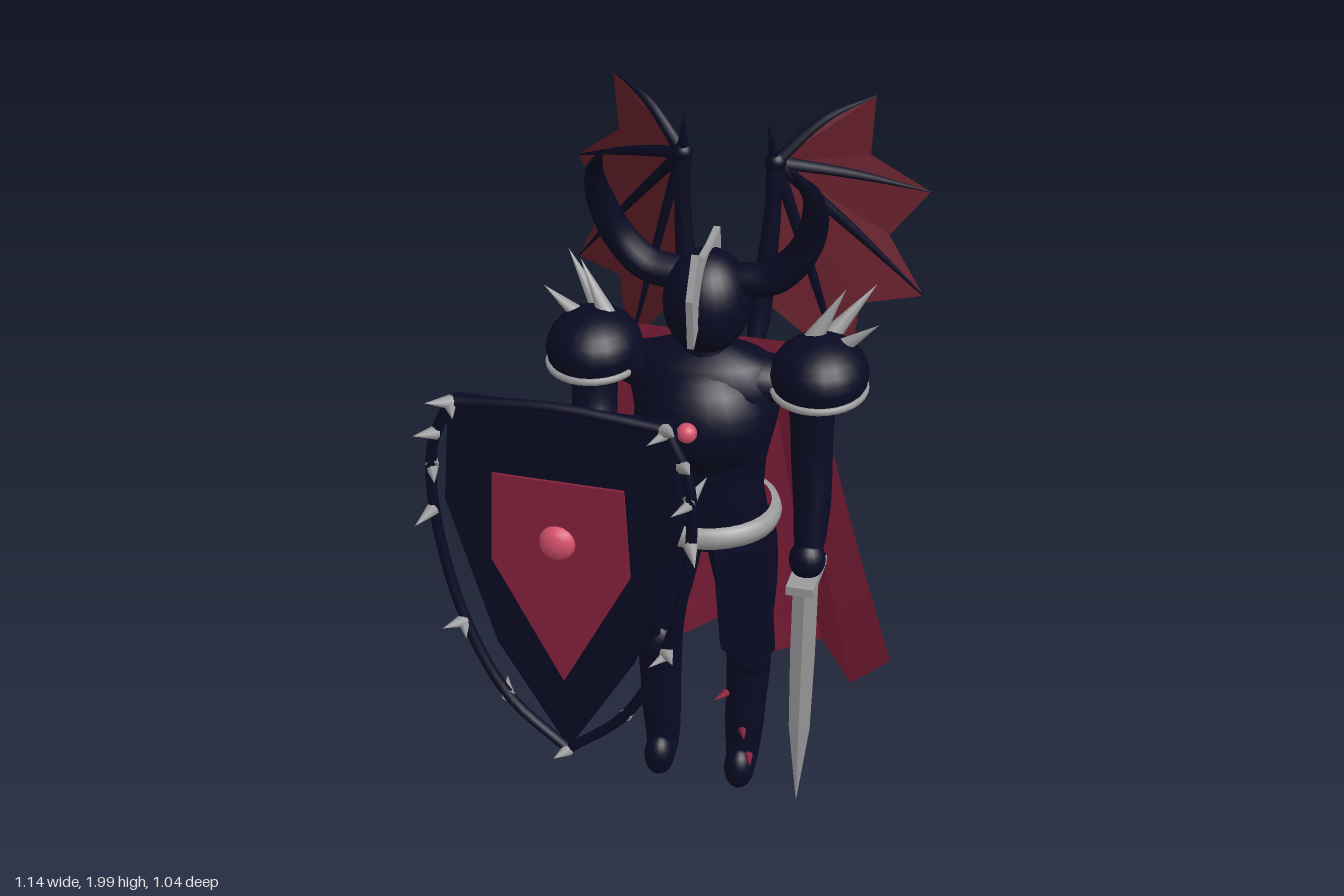
import * as THREE from 'three';

const mat = (name, color, extra = {}) => Object.assign(new THREE.MeshStandardMaterial({ color, ...extra }), { name });
const V = (x, y, z) => new THREE.Vector3(x, y, z);

export function createModel() {
  const navy = mat('navy armour', 0x090a23);
  const steel = mat('steel', 0x9b9b9d);
  const crimson = mat('crimson cloth', 0x88213d, { side: THREE.DoubleSide, flatShading: true });
  const leather = mat('wing membrane', 0x66202b, { side: THREE.DoubleSide, flatShading: true });
  const gemMat = mat('rose gem', 0xd4506c);

  const root = new THREE.Group();
  root.name = 'wingedKnight';
  const body = new THREE.Group();
  body.name = 'body';
  body.position.x = 0.07;
  root.add(body);

  const add = (parent, name, geo, material, pos) => {
    const m = new THREE.Mesh(geo, material);
    m.name = name;
    if (pos) m.position.copy(pos);
    parent.add(m);
    return m;
  };
  const ball = (parent, name, material, pos, rx, ry = rx, rz = rx, w = 20, h = 14) => {
    const m = add(parent, name, new THREE.SphereGeometry(1, w, h), material, pos);
    m.scale.set(rx, ry, rz);
    return m;
  };
  // tube along a smooth path whose radius follows a list of values
  const limb = (parent, name, material, pts, radii, seg = 24, sides = 12) => {
    const curve = new THREE.CatmullRomCurve3(pts);
    const geo = new THREE.TubeGeometry(curve, seg, 1, sides);
    const p = geo.attributes.position;
    const v = V();
    for (let i = 0; i <= seg; i++) {
      const f = (i / seg) * (radii.length - 1);
      const k = Math.min(Math.floor(f), radii.length - 2);
      const r = radii[k] + (radii[k + 1] - radii[k]) * (f - k);
      const c = curve.getPointAt(i / seg);
      for (let j = 0; j <= sides; j++) {
        const n = i * (sides + 1) + j;
        v.fromBufferAttribute(p, n).sub(c).multiplyScalar(r).add(c);
        p.setXYZ(n, v.x, v.y, v.z);
      }
    }
    return add(parent, name, geo, material);
  };
  // cone from a base point to a tip
  const spike = (parent, name, material, base, tip, r) => {
    const d = tip.clone().sub(base);
    const m = add(parent, name, new THREE.ConeGeometry(r, d.length(), 8), material, base.clone().addScaledVector(d, 0.5));
    m.quaternion.setFromUnitVectors(V(0, 1, 0), d.normalize());
    return m;
  };
  const plate = (points, depth) => new THREE.ExtrudeGeometry(
    new THREE.Shape(points.map(([x, y]) => new THREE.Vector2(x, y))), { depth, bevelEnabled: false });
  const surface = (verts, index) => {
    const g = new THREE.BufferGeometry();
    g.setAttribute('position', new THREE.Float32BufferAttribute(verts.flatMap(v => v.toArray()), 3));
    g.setIndex(index);
    g.computeVertexNormals();
    return g;
  };

  // Torso and shoulders
  const torso = add(body, 'torso', new THREE.LatheGeometry(
    [[0, 0.8], [0.13, 0.82], [0.18, 0.9], [0.162, 1.0], [0.168, 1.1], [0.195, 1.22], [0.21, 1.32], [0.17, 1.39], [0.06, 1.43], [0, 1.43]]
      .map(([r, y]) => new THREE.Vector2(r, y)), 24), navy, V(0, 0, 0.02));
  torso.scale.z = 0.62;
  ball(body, 'shoulders', navy, V(0, 1.33, 0.01), 0.29, 0.08, 0.1);
  ball(body, 'breastplate', navy, V(0, 1.23, 0.05), 0.185, 0.17, 0.165);
  ball(body, 'chestGem', gemMat, V(0, 1.255, 0.215), 0.027);
  add(body, 'neck', new THREE.CylinderGeometry(0.06, 0.08, 0.1, 16), navy, V(0, 1.41, 0.02));
  const belt = add(body, 'belt', new THREE.LatheGeometry(
    [[0.9, -0.03], [1, -0.026], [1.04, 0], [1, 0.026], [0.9, 0.03]].map(([r, y]) => new THREE.Vector2(r, y)), 32),
  steel, V(0, 0.925, 0.028));
  belt.scale.set(0.205, 1, 0.184);

  // Helmet with a steel crest
  ball(body, 'helmet', navy, V(0, 1.54, 0.015), 0.115, 0.142, 0.125, 28, 20);
  const crest = add(body, 'crest', plate(
    [[0.18, 1.48], [0.197, 1.62], [0.14, 1.725], [0.08, 1.69], [0, 1.692], [-0.085, 1.705], [-0.095, 1.6], [0, 1.6], [0.1, 1.55]], 0.018), steel, V(0.009, 0, 0));
  crest.rotation.y = -Math.PI / 2;

  for (const s of [1, -1]) {
    const side = s > 0 ? 'left' : 'right';
    const P = (x, y, z) => V(x * s, y, z);

    // Horn
    limb(body, side + 'Horn', navy, [P(0.08, 1.6, 0), P(0.17, 1.62, 0), P(0.24, 1.69, 0.0), P(0.277, 1.79, 0.025), P(0.28, 1.88, 0.07), P(0.235, 1.985, 0.15)],
      [0.046, 0.046, 0.042, 0.035, 0.022, 0.001], 28, 10);

    // Pauldron, rim and spikes
    ball(body, side + 'Pauldron', navy, P(0.305, 1.375, 0.025), 0.128, 0.102, 0.143);
    const rim = add(body, side + 'PauldronRim', new THREE.TorusGeometry(1, 0.055, 6, 32), steel, P(0.305, 1.335, 0.025));
    rim.rotation.x = Math.PI / 2;
    rim.scale.set(0.123, 0.14, 0.18);
    for (const [b, t] of [[[0.275, 1.45, 0], [0.355, 1.595, -0.03]], [[0.31, 1.44, -0.05], [0.42, 1.575, -0.125]], [[0.335, 1.43, 0], [0.45, 1.52, 0]]])
      spike(body, side + 'PauldronSpike', steel, P(...b), P(...t), 0.027);

    // Leg with rounded foot
    limb(body, side + 'Leg', navy, [P(0.09, 0.93, 0.02), P(0.115, 0.7, 0.01), P(0.13, 0.46, 0.015), P(0.125, 0.25, 0.03), P(0.12, 0.1, 0.035), P(0.12, 0.05, 0.07)],
      [0.085, 0.1, 0.094, 0.084, 0.07, 0.064, 0.062, 0.058, 0.056, 0.05, 0.04], 36, 14);
    ball(body, side + 'Knee', navy, P(0.135, 0.47, 0.04), 0.064, 0.075, 0.062);
    ball(body, side + 'Foot', navy, P(0.12, 0.075, 0.07), 0.044, 0.067, 0.052);
    const tasset = add(body, side + 'Tasset', plate([[-0.08, 0], [0.07, 0], [0.09, -0.34], [0.02, -0.4], [-0.06, -0.32]].map(([x, y]) => [x * s, y]), 0.025), navy, P(0.14, 0.9, 0.165));
    tasset.rotation.set(0.04, s * 0.4, 0);

    // Wing: arm, claw, fingers and scalloped membrane
    const joint = P(0.125, 1.85, -0.2);
    limb(body, side + 'WingArm', navy, [P(0.09, 1.31, -0.14), P(0.1, 1.45, -0.17), P(0.12, 1.68, -0.19), joint],
      [0.02, 0.032, 0.03, 0.025, 0.022, 0.025], 20, 10);
    ball(body, side + 'WingJoint', navy, joint, 0.028);
    spike(body, side + 'WingClaw', navy, joint, P(0.11, 1.97, -0.165), 0.018);
    const edge = [[0.245, 1.95, -0.28], [0.355, 2.0, -0.345], [0.345, 1.83, -0.36], [0.495, 1.7, -0.46], [0.4, 1.59, -0.395], [0.495, 1.4, -0.44],
      [0.34, 1.41, -0.33], [0.315, 1.165, -0.315], [0.215, 1.33, -0.25], [0.11, 1.46, -0.175]].map(a => P(...a));
    const fan = [];
    for (let i = 1; i < edge.length; i++) fan.push(0, i, i + 1);
    add(body, side + 'WingMembrane', surface([joint, ...edge], fan), leather);
    for (const k of [1, 3, 5, 7]) {
      const mid = joint.clone().lerp(edge[k], 0.5).add(V(0, k === 1 ? 0.03 : 0.008, 0));
      limb(body, side + 'WingFinger', navy, [joint, mid, edge[k]], [0.018, 0.013, 0.002], 10, 6);
    }
  }

  // Left arm hanging, with the sword
  limb(body, 'leftArm', navy, [V(0.285, 1.38, 0.02), V(0.29, 1.15, 0.02), V(0.3, 0.98, 0.04), V(0.3, 0.8, 0.075)],
    [0.06, 0.064, 0.058, 0.056, 0.052, 0.045, 0.03]);
  ball(body, 'leftHand', navy, V(0.3, 0.83, 0.075), 0.05, 0.058, 0.052);
  add(body, 'swordGuard', new THREE.BoxGeometry(0.075, 0.026, 0.18), steel, V(0.3, 0.782, 0.08));
  const blade = add(body, 'swordBlade', new THREE.CylinderGeometry(1, 1, 0.75, 4, 3), steel, V(0.3, 0.405, 0.1));
  const bp = blade.geometry.attributes.position;
  for (let i = 0; i < bp.count; i++) {
    const h = bp.getY(i) / 0.75 + 0.5;
    const w = h < 0.05 ? 0.001 : h < 0.4 ? 0.03 : 0.035;
    bp.setXYZ(i, bp.getX(i) * w, bp.getY(i), bp.getZ(i) * w * 0.32 + (0.5 - h) * 0.03);
  }
  blade.geometry = blade.geometry.toNonIndexed();
  blade.geometry.computeVertexNormals();

  // Right arm bent forward behind the shield
  limb(body, 'rightArm', navy, [V(-0.3, 1.38, 0.02), V(-0.3, 1.2, 0.05), V(-0.27, 1.08, 0.13), V(-0.2, 1.075, 0.22), V(-0.14, 1.1, 0.29)],
    [0.06, 0.064, 0.062, 0.064, 0.056, 0.05, 0.045], 30);
  ball(body, 'rightHand', navy, V(-0.14, 1.1, 0.3), 0.058, 0.058, 0.056, 10, 8);

  // Small thorns on the left shin
  for (const [x, y, d] of [[0.08, 0.34, -1], [0.13, 0.22, 1], [0.15, 0.13, 1]])
    spike(body, 'shinThorn', crimson, V(x, y, 0.08), V(x + 0.02 * d, y + 0.015, 0.145), 0.012);

  // Folded cape: sweeps back from the shoulders to a jagged hem
  const hem = [[-0.47, 0.2, -0.385], [-0.39, 0.15, -0.46], [-0.32, 0.06, -0.43], [-0.235, 0.12, -0.41], [-0.075, 0.175, -0.525], [0.01, 0.06, -0.47],
    [0.08, 0.12, -0.43], [0.24, 0.16, -0.5], [0.35, 0.06, -0.43], [0.475, 0.2, -0.385]];
  const verts = [], index = [], rows = 8, cols = hem.length;
  for (let r = 0; r <= rows; r++) {
    const t = r / rows;
    hem.forEach(([x, y, z], c) => {
      const topX = -0.25 + 0.5 * c / (cols - 1);
      verts.push(V(topX + (x - topX) * t, 1.39 + (y - 1.39) * t, -0.095 + (z + 0.095) * Math.pow(t, 1.35)));
      if (r < rows && c < cols - 1) {
        const a = r * cols + c, b = a + cols;
        index.push(a, a + 1, b, a + 1, b + 1, b);
      }
    });
  }
  add(body, 'cape', surface(verts, index), crimson);

  // Shield
  const shield = new THREE.Group();
  shield.name = 'shield';
  shield.position.x = -0.2;
  root.add(shield);
  const both = half => [...half, ...half.slice().reverse().filter(p => p[0] !== 0).map(([x, y]) => [-x, y])];
  add(shield, 'shieldPlate', plate(both([[-0.29, 1.39], [-0.315, 1.1], [-0.19, 0.67], [0, 0.35]]), 0.055), navy, V(0, 0, 0.39));
  add(shield, 'shieldPanel', plate(both([[-0.175, 1.2], [-0.188, 0.94], [0, 0.58]]), 0.009), crimson, V(-0.005, 0, 0.444));
  ball(shield, 'shieldGem', gemMat, V(-0.01, 1.02, 0.45), 0.05, 0.05, 0.036, 12, 8);
  const strips = [[[-0.28, 1.395], [0, 1.415], [0.28, 1.395]]];
  for (const s of [1, -1]) strips.push([[0.28, 1.395], [0.335, 1.27], [0.345, 1.08], [0.28, 0.74], [0.165, 0.5], [0, 0.35]].map(([x, y]) => [x * s, y]));
  for (const strip of strips)
    limb(shield, 'shieldRim', navy, strip.map(([x, y]) => V(x, y, 0.45)), [0.015, 0.015], 28, 8);

  // Rim spikes, raked forward and back
  const studs = [[0.28, 1.395, 0.06, 0.025], [0.325, 1.3, 0.05, 0.02], [0.34, 1.2, 0.04, 0.035], [0.345, 1.07, 0.04, -0.02], [0.28, 0.73, 0.05, 0.01], [0.165, 0.5, 0.04, 0.01]];
  for (const s of [1, -1]) studs.forEach(([x, y, dx, dy], i) => {
    spike(shield, 'rimSpike', steel, V(x * s, y, 0.455), V((x + dx * 0.7) * s, y + dy, i % 3 === 2 ? 0.38 : 0.52), 0.019);
    if (i % 2 === 0) spike(shield, 'rimSpike', steel, V(x * s, y - 0.01, 0.455), V((x - 0.03) * s, y - 0.01, 0.52), 0.015);
  });
  spike(shield, 'rimSpike', steel, V(0, 0.35, 0.455), V(-0.02, 0.365, 0.52), 0.018);

  return root;
}
